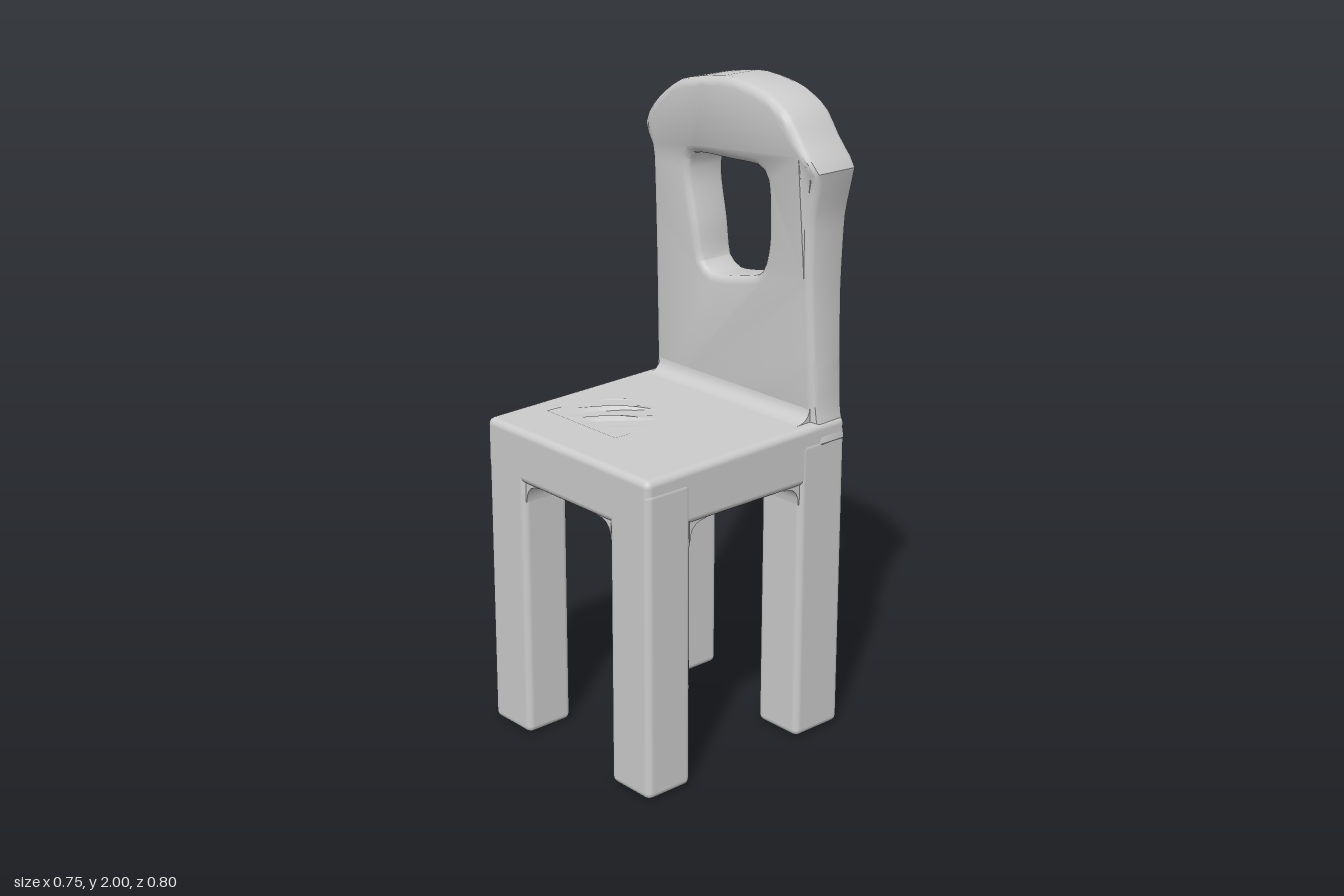
import * as THREE from 'three';
import { toCreasedNormals } from 'three/addons/utils/BufferGeometryUtils.js';
import { RoundedBoxGeometry } from 'three/addons/geometries/RoundedBoxGeometry.js';

const material = new THREE.MeshStandardMaterial({ color: 0xcccccc });
const { lerp, mapLinear, smoothstep } = THREE.MathUtils;

function add(group, name, geometry, x = 0, y = 0, z = 0) {
  const mesh = new THREE.Mesh(geometry, material);
  mesh.name = name;
  mesh.position.set(x, y, z);
  group.add(mesh);
  return mesh;
}

// Rounded box given by its limits on each axis
function block(group, name, [x0, x1], [y0, y1], [z0, z1], radius) {
  const geometry = new RoundedBoxGeometry(x1 - x0, y1 - y0, z1 - z0, 2, radius);
  return add(group, name, geometry, (x0 + x1) / 2, (y0 + y1) / 2, (z0 + z1) / 2);
}

// Concave corner filler: spreads along +x at the top and runs down along -y
function filletGeometry(r, width) {
  const pad = 0.03;
  const shape = new THREE.Shape();
  shape.moveTo(-pad, pad);
  shape.lineTo(-pad, -r);
  shape.lineTo(0, -r);
  shape.quadraticCurveTo(0, 0, r, 0);
  shape.lineTo(r, pad);
  shape.closePath();
  const geometry = new THREE.ExtrudeGeometry(shape, { depth: width, bevelEnabled: false, curveSegments: 5 });
  geometry.translate(0, 0, -width / 2);
  return toCreasedNormals(geometry, 0.6);
}

// Closed smooth outline through a few points
function outline(points, count, tension) {
  const curve = new THREE.CatmullRomCurve3(
    points.map(([x, y]) => new THREE.Vector3(x, y, 0)), true, 'catmullrom', tension);
  return curve.getSpacedPoints(count).slice(0, -1).map((p) => new THREE.Vector2(p.x, p.y));
}

function backrestGeometry() {
  const shape = new THREE.Shape(outline([
    [-0.36, 0.92], [0, 0.92], [0.355, 0.92], [0.35, 1.05], [0.335, 1.4], [0.34, 1.62], [0.365, 1.74],
    [0.37, 1.78], [0.31, 1.85], [0.25, 1.93], [0.15, 1.98], [0, 2.0], [-0.2, 1.965],
    [-0.3, 1.9], [-0.355, 1.84], [-0.37, 1.79], [-0.355, 1.7], [-0.355, 1.4], [-0.36, 1.05],
  ], 90, 0.3));
  shape.holes.push(new THREE.Path(outline([
    [-0.17, 1.74], [0, 1.75], [0.12, 1.75], [0.155, 1.7], [0.155, 1.53], [0.12, 1.425],
    [0, 1.39], [-0.09, 1.38], [-0.14, 1.41], [-0.16, 1.52], [-0.19, 1.66],
  ], 44, 0.35)));
  const bevel = 0.025;
  const geometry = new THREE.ExtrudeGeometry(shape, {
    depth: 1 - 2 * 0.14, bevelThickness: 0.14, bevelSize: bevel, bevelOffset: -bevel, bevelSegments: 3,
  });
  geometry.translate(0, 0, 0.14);
  // Thickness grows with height and swells at the top rail
  const p = geometry.attributes.position;
  for (let i = 0; i < p.count; i++) {
    const y = p.getY(i);
    const front = mapLinear(y, 1, 1.75, -0.267, -0.242) + 0.02 * smoothstep(y, 1.73, 1.82);
    const rear = -0.386 - 0.016 * smoothstep(y, 1.0, 1.85);
    p.setZ(i, lerp(rear, Math.min(front, -0.216), p.getZ(i)));
  }
  return toCreasedNormals(geometry, 0.6);
}

// Small faceted patch of shallow dents on the seat
function dentGeometry() {
  const geometry = new THREE.PlaneGeometry(0.32, 0.32, 8, 8).rotateX(-Math.PI / 2);
  const p = geometry.attributes.position;
  for (let i = 0; i < p.count; i++) {
    const fade = Math.max(0, 1 - Math.hypot(p.getX(i), p.getZ(i)) / 0.15);
    p.setY(i, -0.003 + 0.018 * fade * Math.sin(i * 2.3));
  }
  return toCreasedNormals(geometry, 0.2);
}

export function createModel() {
  const chair = new THREE.Group();
  chair.name = 'chair';

  // Seat, rising slightly towards the back
  const seat = block(chair, 'seat', [-0.372, 0.366], [0.83, 1.006], [-0.386, 0.4], 0.022);
  const sp = seat.geometry.attributes.position;
  for (let i = 0; i < sp.count; i++) {
    if (sp.getY(i) > 0) sp.setY(i, sp.getY(i) - 0.02 * sp.getZ(i));
  }
  add(chair, 'seatDents', dentGeometry(), -0.12, 1.007, 0.08);

  // Four legs with fillets under the seat
  for (const side of [-1, 1]) {
    for (const end of [-1, 1]) {
      const xs = side < 0 ? [-0.37, -0.193] : [0.195, 0.368];
      const zs = end < 0 ? [-0.386, -0.2] : [0.232, 0.4];
      const leg = new THREE.Group();
      leg.name = (end > 0 ? 'front' : 'back') + (side > 0 ? 'Left' : 'Right') + 'Leg';
      chair.add(leg);
      block(leg, 'post', xs, [0, 0.965], zs, 0.022);
      const innerX = side < 0 ? xs[1] : xs[0];
      const innerZ = end < 0 ? zs[1] : zs[0];
      const midX = (xs[0] + xs[1]) / 2;
      const midZ = (zs[0] + zs[1]) / 2;
      add(leg, 'sideFillet', filletGeometry(0.06, zs[1] - zs[0] - 0.02), innerX, 0.832, midZ)
        .rotation.y = side < 0 ? 0 : Math.PI;
      add(leg, 'depthFillet', filletGeometry(0.06, xs[1] - xs[0] - 0.02), midX, 0.832, innerZ)
        .rotation.y = end < 0 ? -Math.PI / 2 : Math.PI / 2;
    }
  }

  // Arched backrest with a window, blended into the seat
  add(chair, 'backrest', backrestGeometry());
  const blend = filletGeometry(0.055, 0.67).rotateX(Math.PI).rotateY(-Math.PI / 2);
  add(chair, 'backrestFillet', blend, -0.003, 1.01, -0.267);

  return chair;
}
